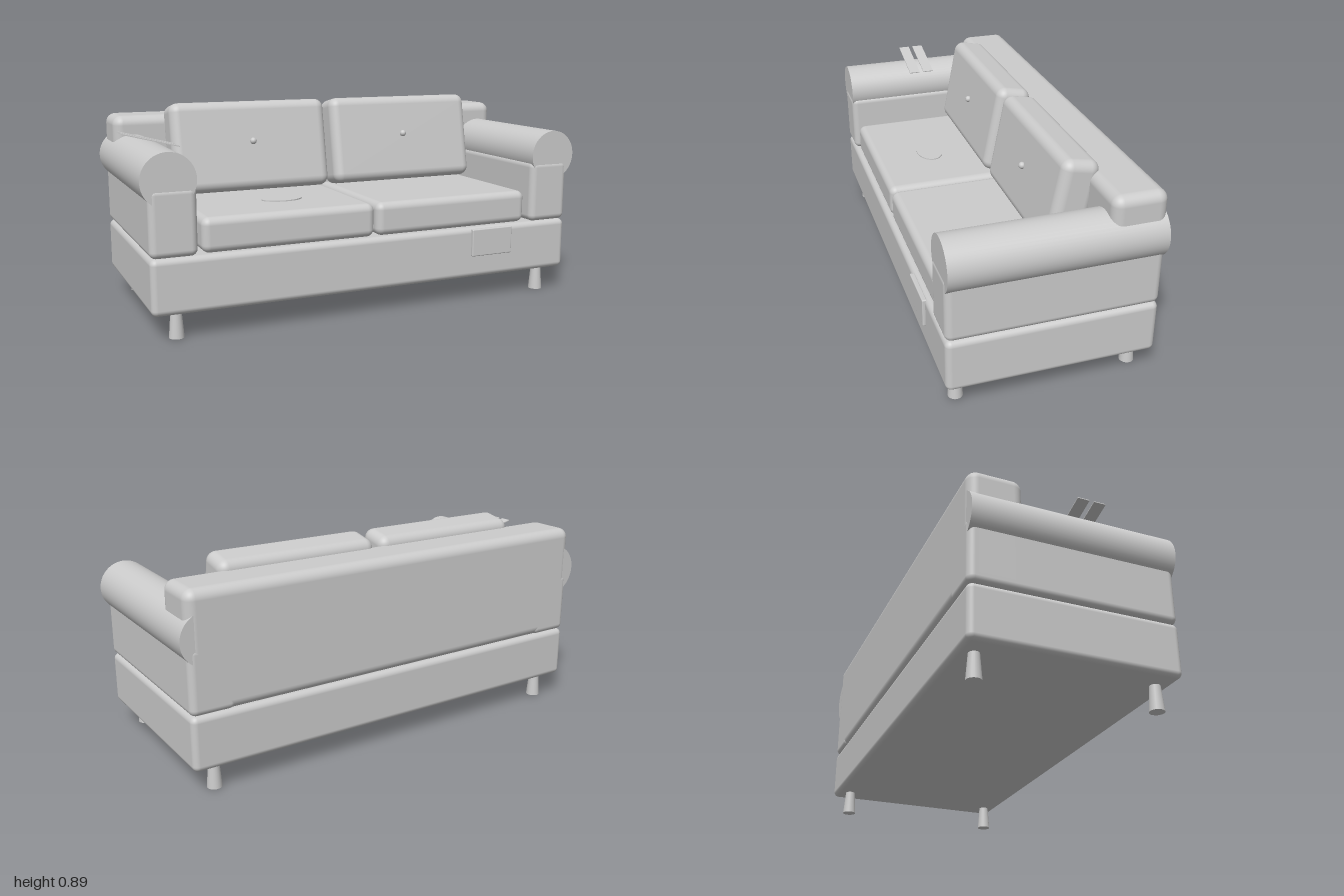
import * as THREE from 'three';
import { RoundedBoxGeometry } from 'three/addons/geometries/RoundedBoxGeometry.js';

const material = new THREE.MeshStandardMaterial({ color: 0xcccccc });

export function createModel() {
  const sofa = new THREE.Group();
  sofa.name = 'sofa';

  const add = (name, geometry, x, y, z) => {
    const mesh = new THREE.Mesh(geometry, material);
    mesh.name = name;
    mesh.position.set(x, y, z);
    sofa.add(mesh);
    return mesh;
  };

  // Soft block given by its limits on each axis
  const block = (name, [x0, x1], [y0, y1], [z0, z1], radius) => add(
    name, new RoundedBoxGeometry(x1 - x0, y1 - y0, z1 - z0, 5, radius),
    (x0 + x1) / 2, (y0 + y1) / 2, (z0 + z1) / 2);

  // Base and backrest
  block('base', [-0.97, 0.97], [0.107, 0.336], [-0.44, 0.429], 0.025);
  block('backrest', [-0.97, 0.97], [0.334, 0.831], [-0.44, -0.214], 0.042);

  for (const side of [-1, 1]) {
    const label = side > 0 ? 'left' : 'right';
    const span = (a, b) => (side > 0 ? [a, b] : [-b, -a]);

    // Arm with a round roll on top
    block(label + 'Arm', span(0.778, 0.97), [0.336, 0.612], [-0.44, 0.429], 0.028);
    add(label + 'ArmRoll', new THREE.CylinderGeometry(0.111, 0.111, 0.864, 48), side * 0.889, 0.639, -0.006)
      .rotation.x = Math.PI / 2;

    // Seat cushion and leaning back cushion
    block(label + 'SeatCushion', span(0.005, 0.757), [0.335, 0.479], [-0.23, 0.41], 0.032);
    add(label + 'BackCushion', new RoundedBoxGeometry(0.73, 0.402, 0.16, 6, 0.042), side * 0.381, 0.68, -0.153)
      .rotation.x = -0.19;
    add(label + 'CushionButton', new THREE.SphereGeometry(0.015, 16, 12), side * 0.38, 0.712, -0.074);

    // Tapered legs
    for (const [end, z] of [['Front', 0.366], ['Back', -0.375]]) {
      add(label + end + 'Leg', new THREE.CylinderGeometry(0.022, 0.031, 0.11, 20), side * 0.863, 0.055, z);
    }
  }

  // Oval disc on the right seat
  const disc = add('ovalDisc', new THREE.CylinderGeometry(1, 1, 0.008, 40), -0.33, 0.48, 0.142);
  disc.scale.set(0.09, 1, 0.06);

  // Patch on the front of the base
  block('frontPatch', [0.462, 0.668], [0.207, 0.33], [0.42, 0.441], 0.005);

  // Two thin slats resting aslant on the right arm
  for (const z of [0.026, 0.097]) {
    add('armSlat', new THREE.BoxGeometry(0.242, 0.004, 0.051), -0.882, 0.759, z).rotation.z = -0.25;
  }

  return sofa;
}
